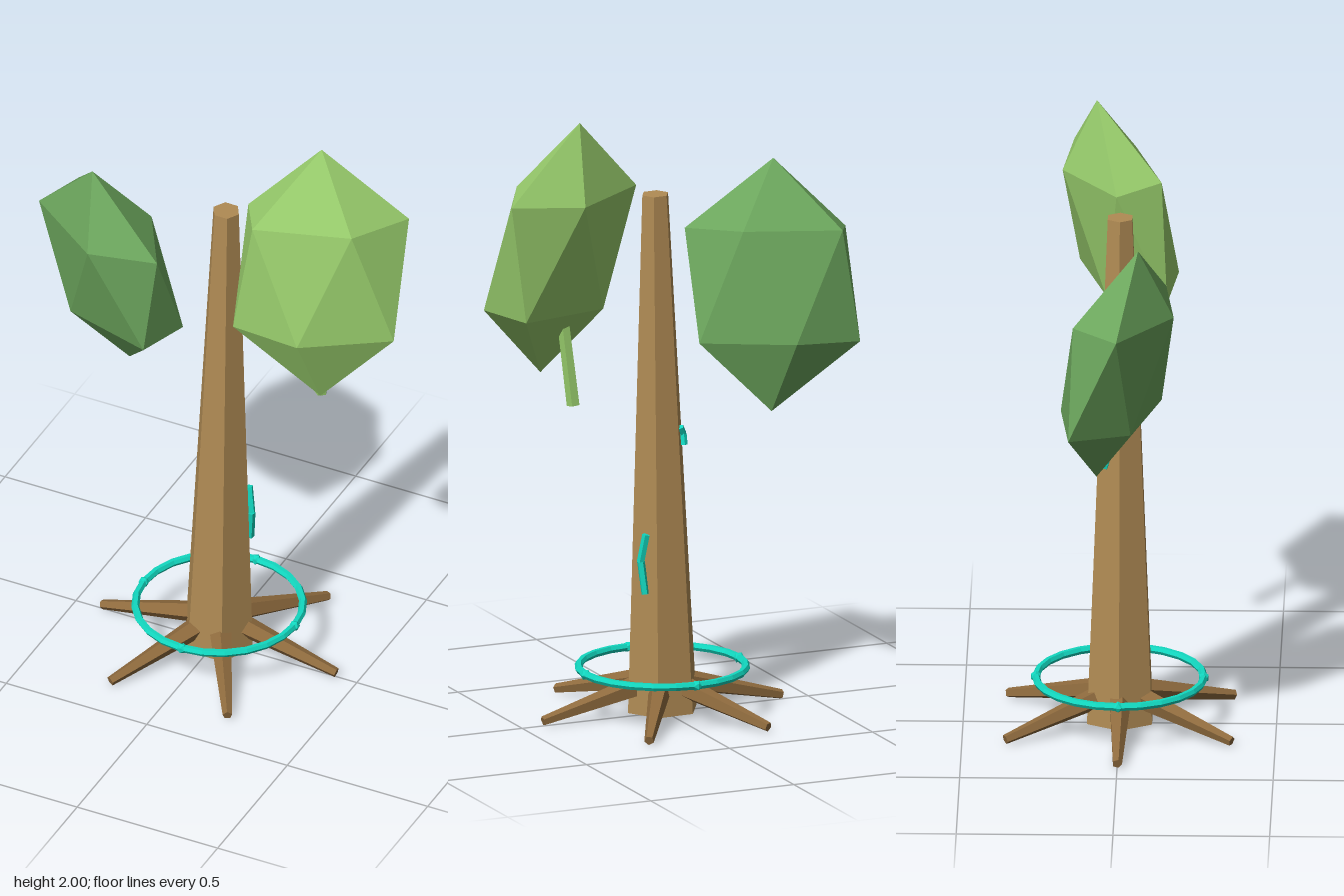
import * as THREE from 'three';
import { ConvexGeometry } from 'three/addons/geometries/ConvexGeometry.js';

const V = (x, y, z) => new THREE.Vector3(x, y, z);
const mat = (name, color) => Object.assign(new THREE.MeshStandardMaterial({ color, flatShading: true }), { name });

export function createModel() {
  const tree = new THREE.Group();
  tree.name = 'tree';
  const bark = mat('bark brown', 0xb08b54);
  const rootBrown = mat('root brown', 0x8f6b3e);
  const lightLeaf = mat('light leaf green', 0x97cb6b);
  const darkLeaf = mat('dark leaf green', 0x6ca65d);
  const glow = mat('turquoise', 0x12d8c0);

  function add(name, geometry, material) {
    const mesh = new THREE.Mesh(geometry, material);
    mesh.name = name;
    tree.add(mesh);
    return mesh;
  }

  // Tapered rod from a (radius ra) to b (radius rb)
  function rod(name, a, b, ra, rb, sides, material, turn = 0) {
    const axis = b.clone().sub(a);
    const geo = new THREE.CylinderGeometry(rb, ra, axis.length(), sides).rotateY(turn);
    const mesh = add(name, geo, material);
    mesh.quaternion.setFromUnitVectors(V(0, 1, 0), axis.normalize());
    mesh.position.copy(a).add(b).multiplyScalar(0.5);
    return mesh;
  }

  // Trunk, leaning slightly
  rod('trunk', V(0.01, 0.015, 0), V(0.035, 1.715, 0), 0.12, 0.045, 6, bark, Math.PI / 6);

  // Six roots spreading over the ground
  for (let i = 0; i < 6; i++) {
    const a = i * Math.PI / 3, c = Math.cos(a), s = Math.sin(a);
    rod('root', V(0.01 + 0.08 * c, 0.1, 0.08 * s), V(0.01 + 0.417 * c, 0.018, 0.417 * s), 0.037, 0.016, 5, rootBrown);
  }

  // Ring around the base with four small beads
  const ring = add('ring', new THREE.TorusGeometry(0.268, 0.013, 6, 24), glow);
  ring.rotation.x = Math.PI / 2;
  ring.position.set(0.01, 0.155, 0);
  for (let i = 0; i < 4; i++) {
    const a = i * Math.PI / 2;
    add('ringBead', new THREE.IcosahedronGeometry(0.018, 0), glow)
      .position.set(0.01 + 0.268 * Math.cos(a), 0.155, 0.268 * Math.sin(a));
  }

  // Bent glowing marks on the back faces of the trunk
  function mark(points, radius) {
    for (let i = 0; i < points.length - 1; i++) {
      rod('trunkMark', points[i], points[i + 1], radius, radius, 5, glow);
    }
  }
  mark([V(0.09, 0.61, -0.053), V(0.104, 0.52, -0.042), V(0.094, 0.415, -0.054)], 0.013);
  mark([V(-0.033, 0.95, -0.045), V(-0.046, 0.925, -0.038), V(-0.045, 0.89, -0.048)], 0.011);

  // Flattened, tilted leaf clump: two tips and two five-point rings
  function leaf(name, centre, tip, u, w, material) {
    const points = [];
    const pair = (p) => points.push(centre.clone().add(p), centre.clone().sub(p));
    pair(tip);
    for (let k = 0; k < 5; k++) {
      const a = k * Math.PI * 2 / 5;
      pair(tip.clone().multiplyScalar(0.447)
        .addScaledVector(u, Math.cos(a)).addScaledVector(w, Math.sin(a)));
    }
    add(name, new ConvexGeometry(points), material);
  }
  leaf('lightLeaf', V(0.37, 1.575, -0.005), V(-0.035, 0.425, -0.075),
    V(0.01, -0.015, -0.152), V(0.263, 0.005, -0.076), lightLeaf);
  leaf('darkLeaf', V(-0.375, 1.372, 0), V(-0.033, 0.398, 0.067),
    V(0.02, -0.02, 0.15), V(0.26, 0.005, 0.079), darkLeaf);

  // Stem under the light leaf
  rod('leafStem', V(0.345, 1.065, -0.055), V(0.375, 1.4, -0.025), 0.022, 0.02, 5, lightLeaf);

  return tree;
}
